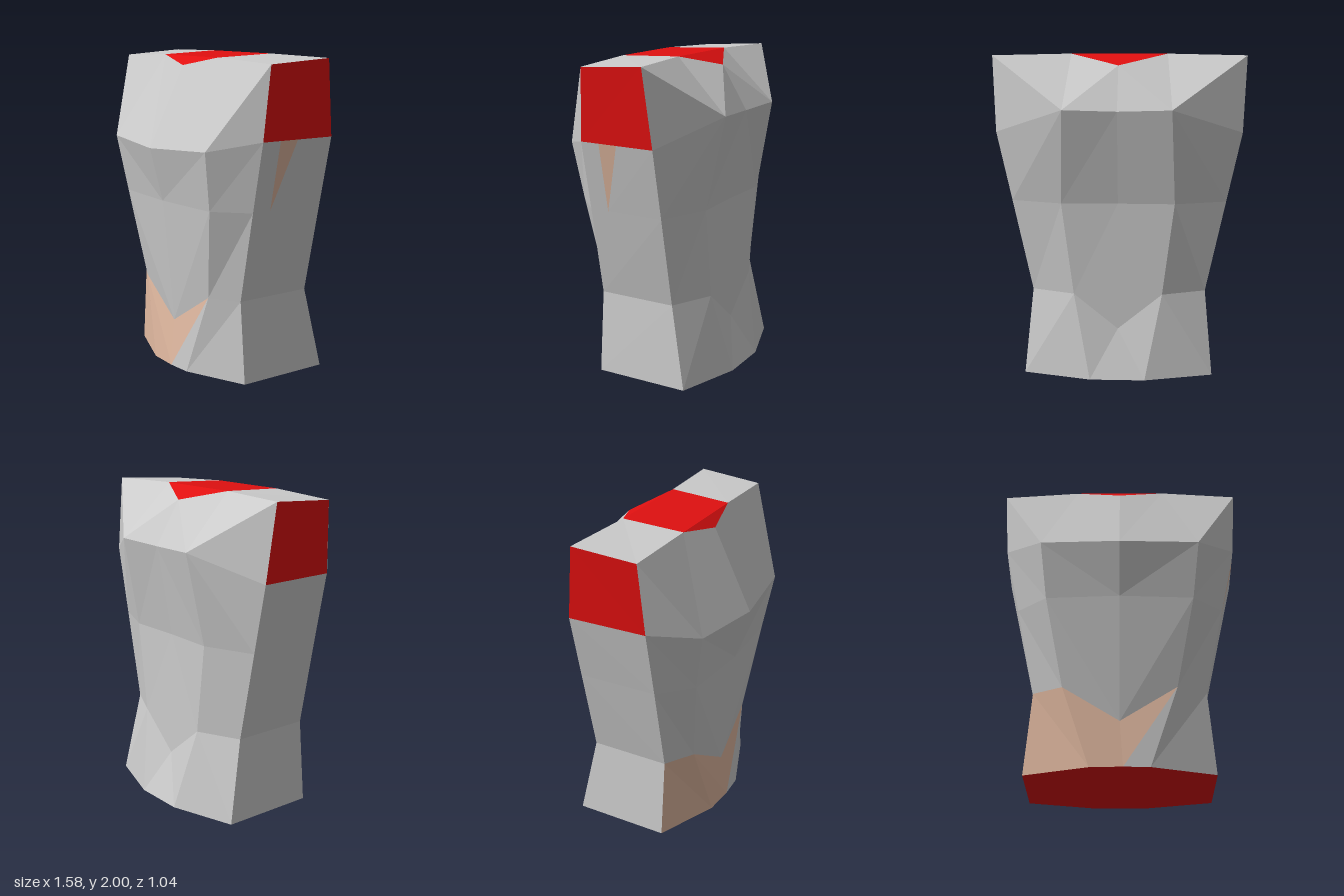
import * as THREE from 'three';

// Half cross-sections (x >= 0): front centre, front mid, front corner, back corner, back mid, back centre
const HALF_RINGS = [
  [[0.02, 0, 0.39], [0.18, 0, 0.38], [0.58, 0, 0.22], [0.59, 0, -0.39], [0.17, 0, -0.52], [0, 0, -0.52]],
  [[0, 0.295, 0.35], [0.35, 0.52, 0.33], [0.535, 0.52, 0.22], [0.545, 0.52, -0.285], [0.275, 0.52, -0.41], [0, 0.3, -0.415]],
  [[0, 1.09, 0.43], [0.46, 1.09, 0.4], [0.65, 1.09, 0.22], [0.67, 1.09, -0.285], [0.35, 1.09, -0.41], [0, 1.09, -0.4]],
  [[0, 1.43, 0.52], [0.5, 1.455, 0.46], [0.74, 1.52, 0.22], [0.765, 1.52, -0.285], [0.33, 1.67, -0.525], [0, 1.66, -0.5]],
  [[0, 1.93, 0.27], [0.285, 1.985, 0.21], [0.77, 1.965, 0.19], [0.79, 1.99, -0.23], [0.3, 2, -0.19], [0, 1.93, -0.335]],
];

// Mirror a half section into a closed loop of ten points
function fullRing(half) {
  const mirrored = half.slice(1, 5).reverse().map(([x, y, z]) => [-x, y, z]);
  return [...half, ...mirrored].map((p) => new THREE.Vector3(...p));
}

// Mesh from a list of convex polygons, each split into a fan
function polygonMesh(name, polygons, color) {
  const points = [];
  for (const poly of polygons) {
    for (let i = 1; i < poly.length - 1; i++) points.push(poly[0], poly[i], poly[i + 1]);
  }
  const geometry = new THREE.BufferGeometry().setFromPoints(points);
  geometry.computeVertexNormals();
  const mesh = new THREE.Mesh(geometry, new THREE.MeshStandardMaterial({ color, flatShading: true }));
  mesh.name = name;
  return mesh;
}

export function createModel() {
  const rings = HALF_RINGS.map(fullRing);
  const top = rings[4];
  const shirt = [], skin = [], sleeves = [], armpit = [];

  for (let r = 0; r < 4; r++) {
    for (let s = 0; s < 10; s++) {
      const n = (s + 1) % 10;
      const a = rings[r][s], b = rings[r][n], c = rings[r + 1][n], d = rings[r + 1][s];
      const seg = s < 5 ? s : 9 - s; // same segment on the mirrored half

      if (r === 2 && s === 2) {
        // Left flank with a bare wedge under the arm
        const low = a.clone().lerp(b, 0.25);
        const front = d.clone().lerp(c, 0.25);
        const back = d.clone().lerp(c, 0.5);
        shirt.push([a, low, front, d], [low, b, c, back]);
        armpit.push([low, back, front]);
        continue;
      }

      // Diagonals mirror across the middle; the shoulder blade quads run the other way
      const flip = (s >= 5) !== (r === 3 && seg === 3);
      const tris = flip ? [[a, b, d], [b, c, d]] : [[a, b, c], [a, c, d]];
      if (r === 3 && seg === 2) sleeves.push(...tris);
      else if (r === 0 && s >= 8) skin.push(...tris);
      else if (r === 0 && s === 0) {
        shirt.push(tris[0]);
        skin.push(tris[1]);
      } else shirt.push(...tris);
    }
  }

  // Shoulder tops
  const shoulders = [
    [top[1], top[2], top[3], top[4]],
    [top[6], top[7], top[8], top[9]],
  ];
  // Neck cap: flat middle that dips at the front and the back
  const neck = [
    [top[9], top[0], top[1]],
    [top[9], top[1], top[4], top[6]],
    [top[6], top[4], top[5]],
  ];
  // Waist cap faces down
  const waist = [[...rings[0]].reverse()];

  const RED = 0xe01010, SKIN = 0xe0b8a0, GREY = 0xcccccc;
  const group = new THREE.Group();
  group.name = 'torso';
  group.add(
    polygonMesh('shirt', shirt, GREY),
    polygonMesh('shoulders', shoulders, GREY),
    polygonMesh('bareBelly', skin, SKIN),
    polygonMesh('bareArmpit', armpit, SKIN),
    polygonMesh('armCaps', sleeves, RED),
    polygonMesh('neckCap', neck, RED),
    polygonMesh('waistCap', waist, RED),
  );
  return group;
}
